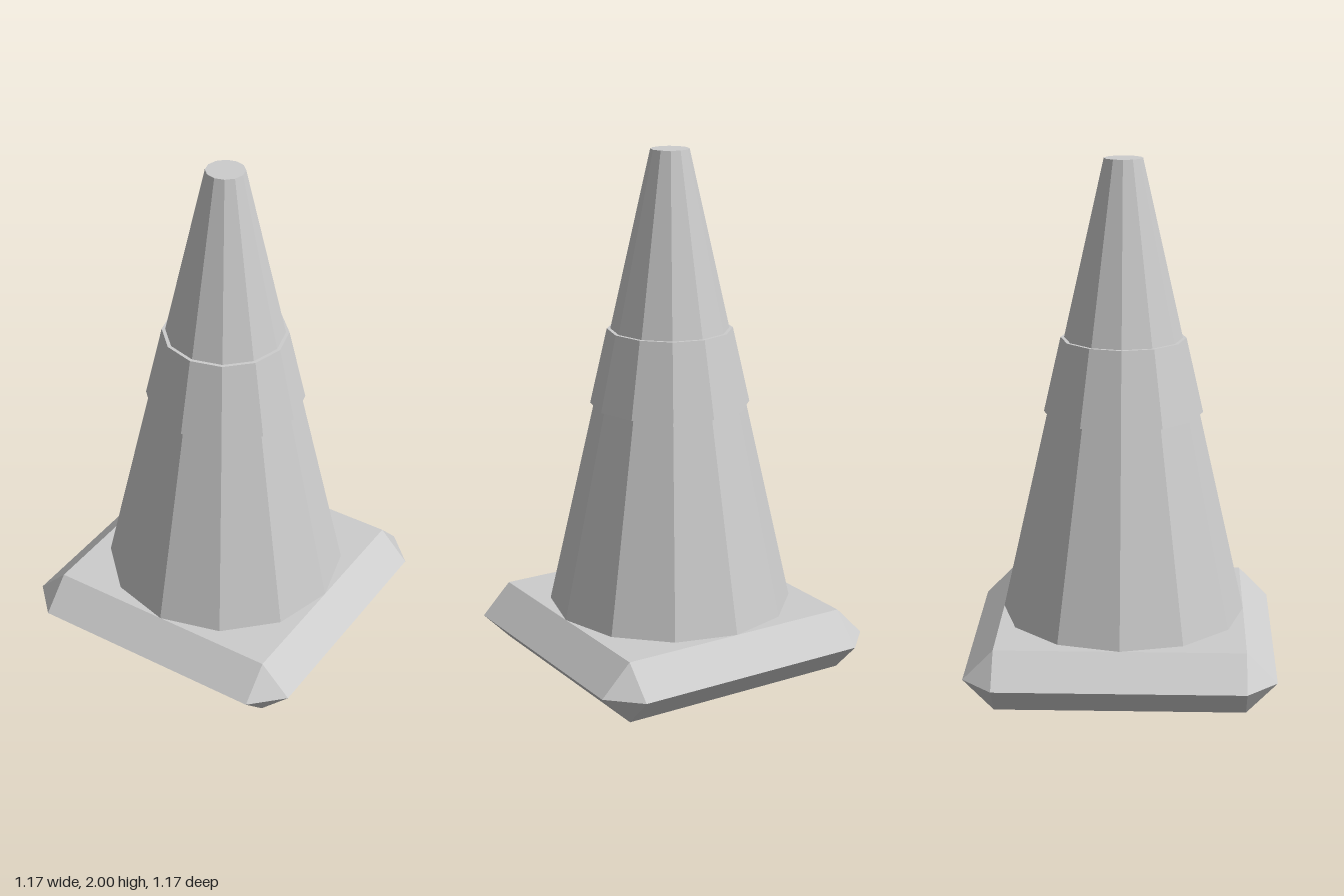
import * as THREE from 'three';
import { ConvexGeometry } from 'three/addons/geometries/ConvexGeometry.js';

export function createModel() {
  const model = new THREE.Group();
  const gray = new THREE.MeshStandardMaterial({ color: 0xcccccc, flatShading: true });
  gray.name = 'light gray';

  const add = (name, geometry, y = 0) => {
    const mesh = new THREE.Mesh(geometry, gray);
    mesh.name = name;
    mesh.position.y = y;
    model.add(mesh);
  };

  // Twelve-sided tapered section between two heights
  const taper = (name, y0, r0, y1, r1) =>
    add(name, new THREE.CylinderGeometry(r1, r0, y1 - y0, 12), (y0 + y1) / 2);

  // Square base plate, bevelled out to a wider eight-cornered waist
  const inner = 0.47, outer = 0.586, height = 0.236;
  const points = [];
  for (const sx of [-1, 1]) {
    for (const sz of [-1, 1]) {
      points.push(
        new THREE.Vector3(sx * inner, 0, sz * inner),
        new THREE.Vector3(sx * inner, height, sz * inner),
        new THREE.Vector3(sx * outer, height / 2, sz * inner),
        new THREE.Vector3(sx * inner, height / 2, sz * outer)
      );
    }
  }
  add('base', new ConvexGeometry(points));

  // Cone body and the raised band around it
  taper('cone', height, 0.47, 2, 0.073);
  taper('band', 1.032, 0.305, 1.322, 0.239);

  return model;
}
